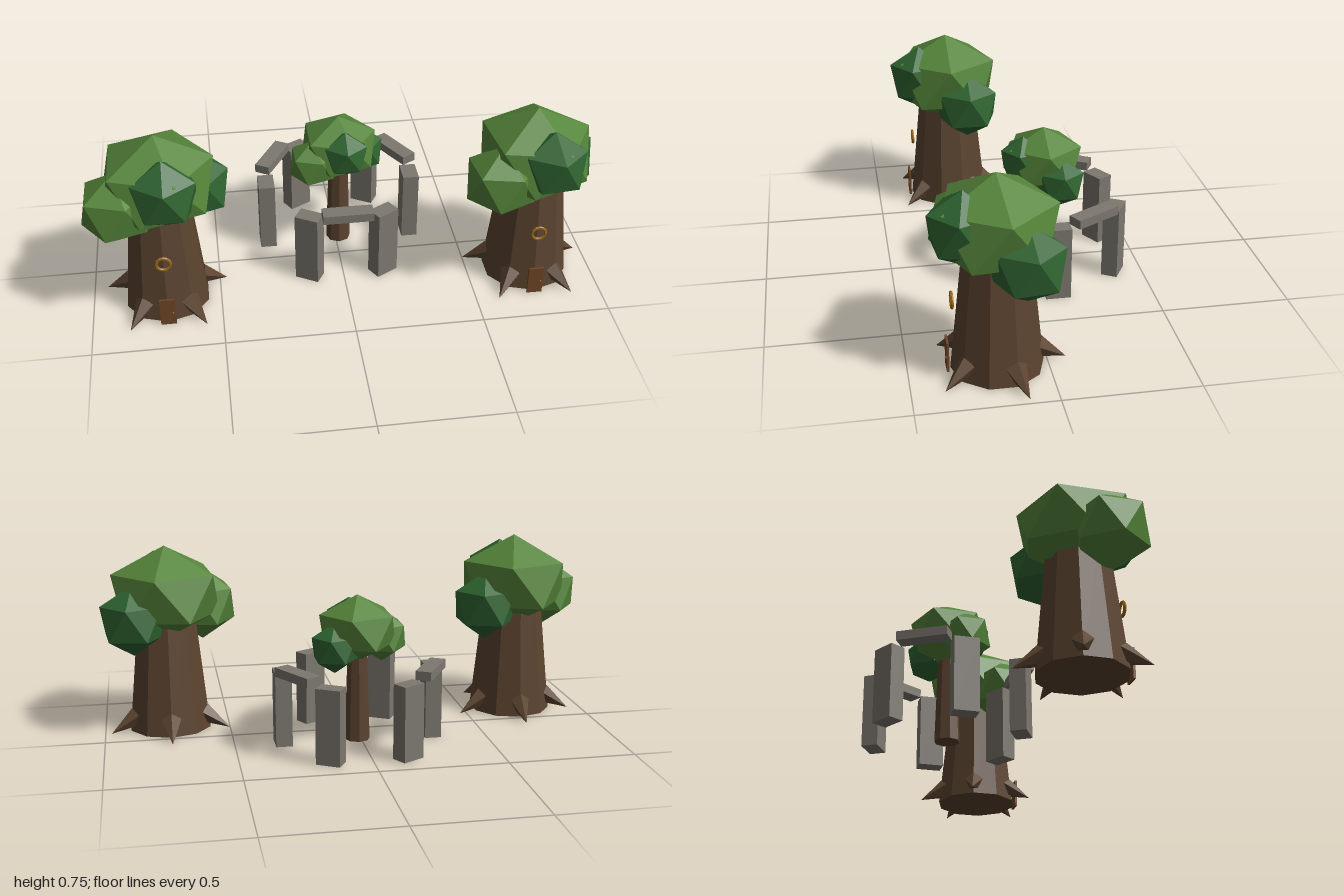
import * as THREE from 'three';

const mat = (name, color) => {
  const m = new THREE.MeshStandardMaterial({ color, flatShading: true });
  m.name = name;
  return m;
};

export function createModel() {
  const bark = mat('bark', 0x5c4430);
  const lightLeaf = mat('light leaves', 0x55853a);
  const darkLeaf = mat('dark leaves', 0x2f6430);
  const doorWood = mat('door wood', 0x6f4524);
  const brass = mat('brass', 0x9c6c1c);
  const stone = mat('stone', 0x7d7870);

  const model = new THREE.Group();
  model.name = 'treeGrove';

  const add = (parent, name, geometry, material, x = 0, y = 0, z = 0) => {
    const mesh = new THREE.Mesh(geometry, material);
    mesh.name = name;
    mesh.position.set(x, y, z);
    parent.add(mesh);
    return mesh;
  };

  // Icosahedron standing on a corner, with an upper corner turned to +x
  const leafBall = (radius, turn = 0) => new THREE.IcosahedronGeometry(radius, 0)
    .rotateZ(Math.atan(2 / (1 + Math.sqrt(5))))
    .rotateY(Math.PI + turn);

  // Crown of one main ball and three smaller ones; origin at the main ball
  const addCrown = (parent, y, scale, turn = 0) => {
    const crown = new THREE.Group();
    crown.name = 'crown';
    crown.position.y = y;
    crown.scale.setScalar(scale);
    crown.rotation.y = turn;
    add(crown, 'mainLeaves', leafBall(0.24).scale(1, 0.8, 1), lightLeaf);
    add(crown, 'leftLeaves', leafBall(0.15), lightLeaf, -0.155, -0.065, 0.07);
    add(crown, 'rightLeaves', leafBall(0.143), darkLeaf, 0.14, -0.088, -0.075);
    add(crown, 'frontLeaves', leafBall(0.14, -Math.PI / 2), darkLeaf, 0.025, 0.013, 0.12);
    parent.add(crown);
  };

  // Large house trees
  const addHouseTree = (x, turn) => {
    const tree = new THREE.Group();
    tree.name = 'houseTree';
    tree.position.set(x, 0, 0.18);
    add(tree, 'trunk', new THREE.CylinderGeometry(0.12, 0.168, 0.46, 10), bark, 0, 0.23, 0);

    // Five pointed roots, sloping down to the ground
    for (let i = 0; i < 5; i++) {
      const root = new THREE.ConeGeometry(0.042, 0.125, 5)
        .rotateY(-Math.PI / 2)
        .rotateZ(-2.07)
        .translate(0.195, 0.03, 0)
        .rotateY(Math.PI / 2 + i * Math.PI * 2 / 5);
      add(tree, 'root', root, bark);
    }

    add(tree, 'door', new THREE.BoxGeometry(0.06, 0.117, 0.009), doorWood, 0, 0.0585, 0.178);
    add(tree, 'doorKnob', new THREE.SphereGeometry(0.004, 6, 4), brass, 0.02, 0.055, 0.185);
    add(tree, 'windowRing', new THREE.TorusGeometry(0.027, 0.006, 6, 12), brass, 0, 0.274, 0.158);
    addCrown(tree, 0.555, 1, turn);
    model.add(tree);
  };
  addHouseTree(-0.71, 0);
  addHouseTree(0.738, 0.1);

  // Small tree inside the stone circle
  const smallTree = new THREE.Group();
  smallTree.name = 'smallTree';
  smallTree.position.set(0.0125, 0, -0.122);
  add(smallTree, 'trunk', new THREE.CylinderGeometry(0.038, 0.05, 0.4, 8), bark, 0, 0.2, 0);
  addCrown(smallTree, 0.452, 0.7);
  model.add(smallTree);

  // Ring of six standing stones, with a lintel on every other gap
  const circle = new THREE.Group();
  circle.name = 'stoneCircle';
  circle.position.set(0.0125, 0, -0.125);
  const radius = 0.298;
  for (let i = 0; i < 6; i++) {
    const a = i * Math.PI / 3;
    add(circle, 'standingStone',
      new THREE.BoxGeometry(0.065, 0.297, 0.097), stone,
      radius * Math.cos(a), 0.1485, -radius * Math.sin(a)).rotation.y = a;
    if (i % 2) continue;
    const b = a + Math.PI / 6;
    add(circle, 'lintel',
      new THREE.BoxGeometry(0.062, 0.036, 0.2), stone,
      radius * Math.cos(b), 0.315, -radius * Math.sin(b)).rotation.y = b;
  }
  model.add(circle);

  return model;
}
